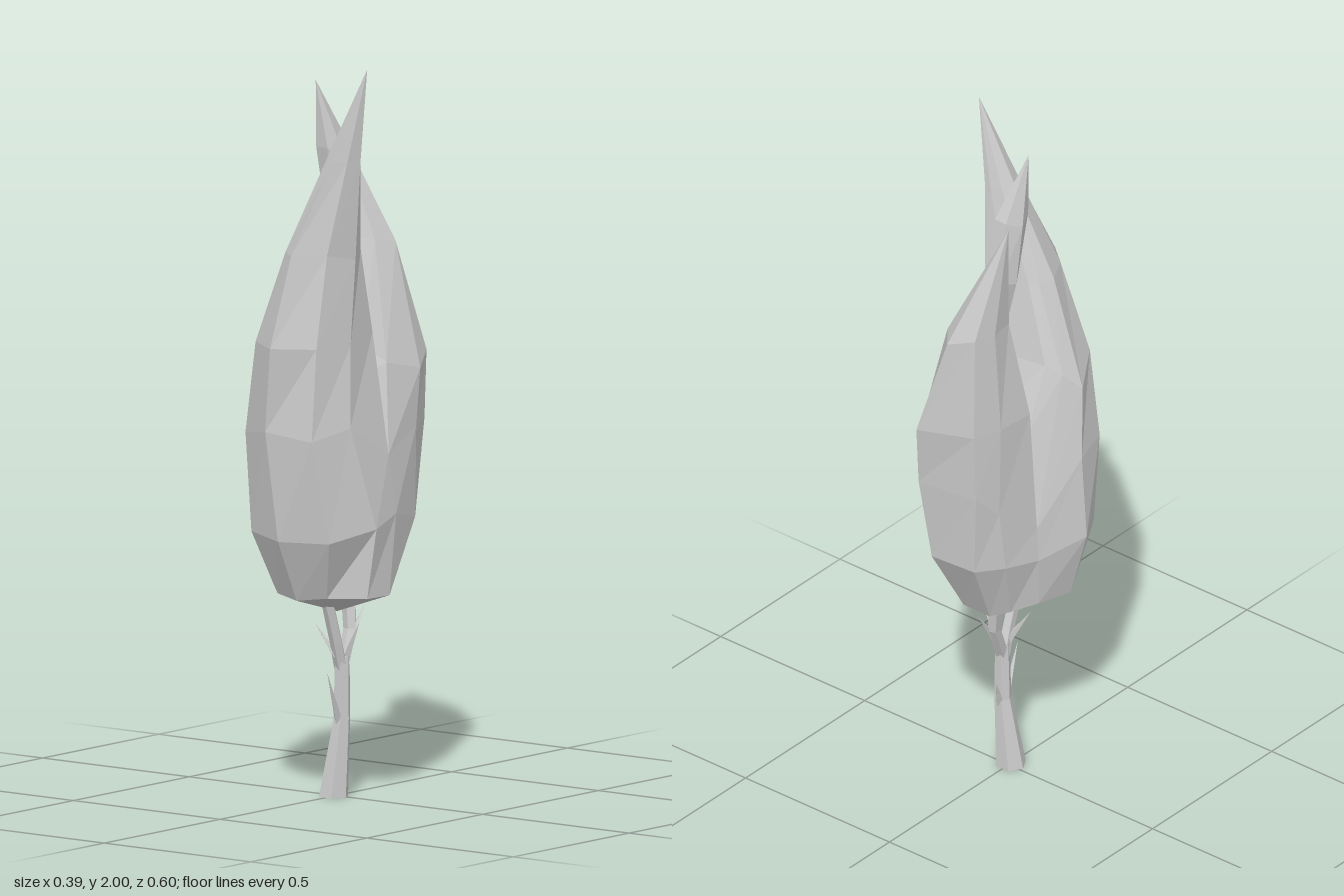
import * as THREE from 'three';

const material = new THREE.MeshStandardMaterial({ color: 0xcccccc, flatShading: true, side: THREE.DoubleSide });

// Skins a stack of rings of [x, y, z] points; a ring of one point closes to a tip.
// Rings run from +x through +z to -x, from bottom to top.
function loft(name, rings) {
  const pos = [];
  for (let r = 0; r < rings.length - 1; r++) {
    const low = rings[r], high = rings[r + 1];
    const n = Math.max(low.length, high.length);
    for (let i = 0; i < n; i++) {
      const j = (i + 1) % n;
      const a = low[i % low.length], b = low[j % low.length];
      const c = high[i % high.length], d = high[j % high.length];
      if (low.length > 1) pos.push(...a, ...c, ...b);
      if (high.length > 1) pos.push(...b, ...c, ...d);
    }
  }
  const geometry = new THREE.BufferGeometry();
  geometry.setAttribute('position', new THREE.Float32BufferAttribute(pos, 3));
  geometry.computeVertexNormals();
  const mesh = new THREE.Mesh(geometry, material);
  mesh.name = name;
  return mesh;
}

// Tapered limb through [x, y, z, radius] stations; radius 0 makes a pointed end.
function limb(name, stations, sides = 6) {
  const rings = stations.map(([x, y, z, r]) => {
    if (r === 0) return [[x, y, z]];
    return Array.from({ length: sides }, (_, i) => {
      const a = (i / sides) * Math.PI * 2;
      return [x + r * Math.cos(a), y, z + r * Math.sin(a)];
    });
  });
  const [x, y, z] = stations[0];
  return loft(name, [[[x, y, z]], ...rings]);
}

export function createModel() {
  const tree = new THREE.Group();
  tree.name = 'tree';

  // Lower crown; its top rim is shared by the two lobes and dips at both notches
  const rim = [
    [0.172, 0.94, -0.01], [0.16, 1.03, 0.14], [0.115, 1.0, 0.25], [-0.02, 1.02, 0.28],
    [-0.14, 1.0, 0.213], [-0.18, 1.0, 0.09], [-0.14, 0.83, -0.05], [-0.117, 0.93, -0.18],
    [-0.095, 1.0, -0.252], [0.085, 1.0, -0.275], [0.148, 1.0, -0.16],
  ];
  // Saddle between the lobes
  const saddleLeft = [0.03, 1.12, -0.025], saddleRight = [-0.09, 1.1, -0.03];
  tree.add(loft('lowerCrown', [
    [[0.02, 0.505, 0.02]],
    [[0.175, 0.56, -0.01], [0.17, 0.56, 0.08], [0.08, 0.56, 0.14], [0, 0.55, 0.17],
      [-0.08, 0.56, 0.15], [-0.15, 0.57, 0.08], [-0.13, 0.58, -0.03], [-0.09, 0.57, -0.1],
      [-0.05, 0.56, -0.14], [0.04, 0.56, -0.14], [0.11, 0.57, -0.09]],
    [[0.182, 0.78, -0.03], [0.194, 0.75, 0.07], [0.135, 0.72, 0.2], [0, 0.72, 0.25],
      [-0.13, 0.73, 0.2], [-0.197, 0.76, 0.09], [-0.145, 0.73, -0.05], [-0.122, 0.75, -0.16],
      [-0.08, 0.76, -0.24], [0.06, 0.76, -0.25], [0.14, 0.75, -0.165]],
    rim,
  ]));

  // Tall front lobe, leaning to the left
  tree.add(loft('frontLobe', [
    [...rim.slice(0, 7), saddleRight, saddleLeft],
    [[0.125, 1.27, 0], [0.145, 1.25, 0.12], [0.115, 1.25, 0.23], [0.01, 1.25, 0.297],
      [-0.1, 1.25, 0.22], [-0.158, 1.2, 0.12], [-0.125, 1.25, 0.075], [-0.09, 1.28, 0.045], [0.03, 1.28, 0.025]],
    [[0.12, 1.5, 0.045], [0.146, 1.48, 0.1], [0.12, 1.5, 0.19], [0.045, 1.5, 0.25],
      [-0.01, 1.5, 0.205], [-0.05, 1.5, 0.13], [-0.035, 1.5, 0.085], [-0.01, 1.5, 0.07], [0.06, 1.5, 0.05]],
    [[0.14, 1.75, 0.07], [0.163, 1.75, 0.1], [0.15, 1.75, 0.14], [0.12, 1.75, 0.17],
      [0.085, 1.75, 0.15], [0.065, 1.75, 0.11], [0.075, 1.75, 0.09], [0.09, 1.75, 0.08], [0.12, 1.75, 0.07]],
    [[0.182, 2, 0.095]],
  ]));

  // Shorter back lobe, leaning to the right
  tree.add(loft('backLobe', [
    [...rim.slice(6), rim[0], saddleLeft, saddleRight],
    [[-0.132, 1.2, -0.07], [-0.122, 1.2, -0.18], [-0.095, 1.2, -0.26], [0.073, 1.18, -0.299],
      [0.138, 1.15, -0.19], [0.125, 1.18, -0.06], [0.03, 1.22, -0.07], [-0.08, 1.22, -0.07]],
    [[-0.1, 1.5, -0.12], [-0.11, 1.5, -0.19], [-0.09, 1.5, -0.25], [-0.01, 1.47, -0.27],
      [0.03, 1.48, -0.22], [0.015, 1.49, -0.15], [-0.03, 1.5, -0.12], [-0.07, 1.5, -0.115]],
    [[-0.115, 1.81, -0.14]],
  ]));

  // Free tuft between the lobes
  tree.add(loft('tuft', [
    [[-0.01, 1.36, -0.04]],
    [[0.03, 1.56, -0.04], [0.015, 1.57, -0.005], [-0.03, 1.57, 0.005],
      [-0.06, 1.57, -0.04], [-0.04, 1.58, -0.088], [0, 1.58, -0.088]],
    [[0.028, 1.72, -0.01], [0, 1.76, 0.036], [-0.045, 1.76, 0.028],
      [-0.065, 1.74, -0.02], [-0.04, 1.76, -0.06], [0, 1.76, -0.058]],
    [[-0.045, 1.94, 0.03]],
  ]));

  // Trunk and its fork
  tree.add(limb('trunk', [[0, 0, 0.01, 0.042], [0.02, 0.21, 0, 0.024], [0.022, 0.38, 0, 0.021]]));
  tree.add(limb('frontBranch', [[0.02, 0.34, 0, 0.019], [0.022, 0.42, 0.025, 0.018], [0.02, 0.55, 0.065, 0.018]], 5));
  tree.add(limb('backBranch', [[0.022, 0.34, 0, 0.019], [0.01, 0.45, -0.05, 0.019], [-0.01, 0.58, -0.065, 0.022]], 5));

  // Pointed twigs: start, then tip
  const twigs = [
    [[0.02, 0.2, 0.01], [0.03, 0.345, 0.075]],
    [[0.02, 0.19, -0.01], [0.005, 0.28, -0.047]],
    [[0.018, 0.38, 0.015], [-0.035, 0.475, 0.05]],
    [[0.02, 0.37, -0.015], [0.065, 0.475, -0.02]],
    [[0.015, 0.41, -0.035], [0.02, 0.515, -0.105]],
  ];
  for (const [start, tip] of twigs) tree.add(limb('twig', [[...start, 0.014], [...tip, 0]], 4));

  return tree;
}
